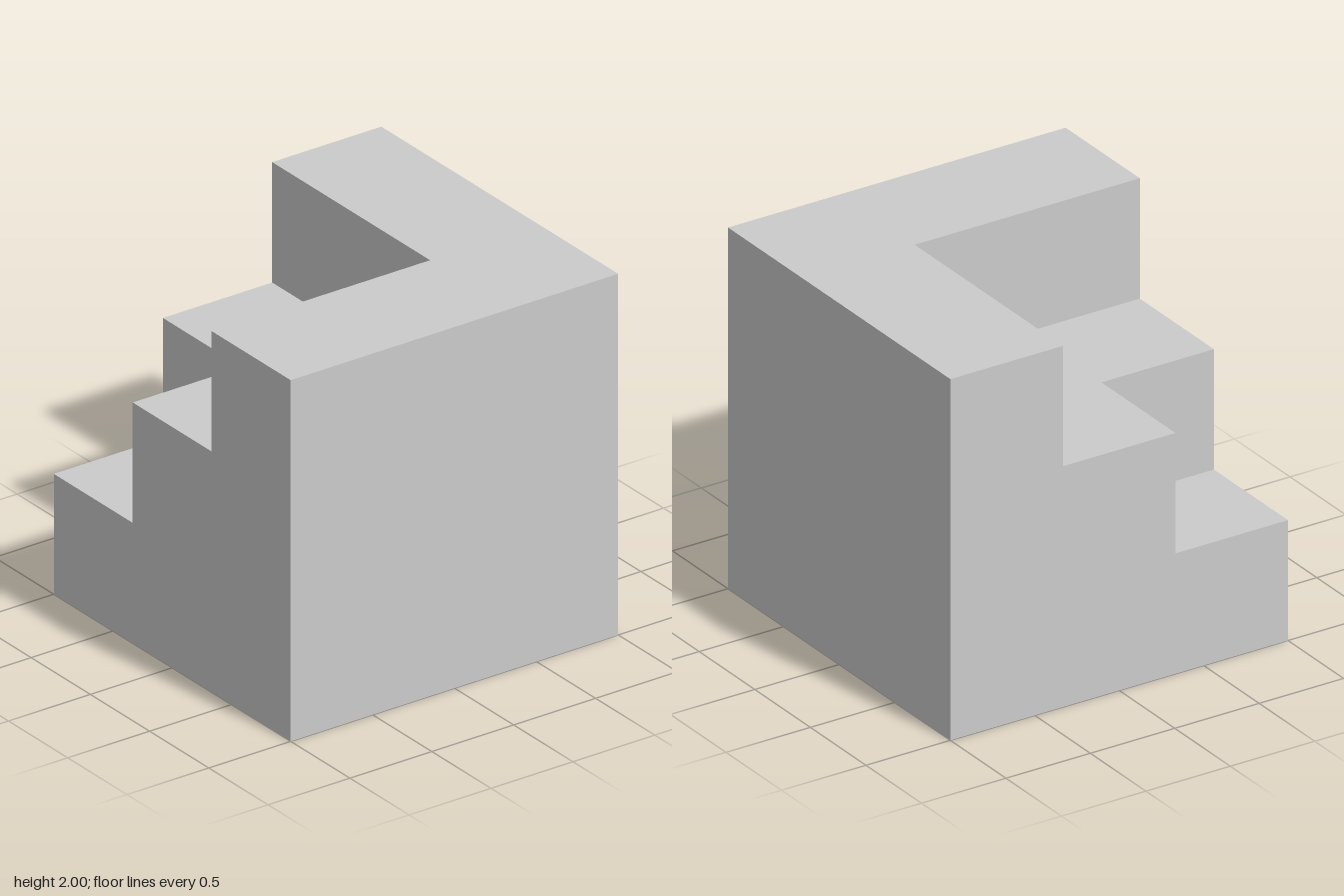
import * as THREE from 'three';
import { mergeGeometries } from 'three/addons/utils/BufferGeometryUtils.js';

const STEPS = 3;
const SIZE = 2 / STEPS;
const Q = Math.PI / 2;

// Flat panel from a 2D outline, turned and moved into place
function panel(points, rx, ry, x, y, z) {
  const shape = new THREE.Shape(points.map(([u, v]) => new THREE.Vector2(u, v)));
  return new THREE.ShapeGeometry(shape).rotateX(rx).rotateY(ry).translate(x, y, z);
}

const rect = (u0, v0, u1, v1) => [[u0, v0], [u1, v0], [u1, v1], [u0, v1]];

export function createModel() {
  const group = new THREE.Group();
  const parts = [];

  // Plain sides and base
  parts.push(panel(rect(-1, 0, 1, 2), 0, 0, 0, 0, 1));
  parts.push(panel(rect(-1, 0, 1, 2), 0, Q, 1, 0, 0));
  parts.push(panel(rect(-1, -1, 1, 1), Q, 0, 0, 0, 0));

  // Stair-shaped sides at the back and the model's right
  const profile = [[-1, 0], [1, 0]];
  for (let i = 0; i < STEPS; i++) {
    const y = (i + 1) * SIZE;
    profile.push([1 - i * SIZE, y], [1 - (i + 1) * SIZE, y]);
  }
  parts.push(panel(profile, 0, 2 * Q, 0, 0, -1));
  parts.push(panel(profile.map(([u, v]) => [-u, v]), 0, -Q, -1, 0, 0));

  // Treads and risers climbing out of the cut corner
  for (let i = 0; i < STEPS; i++) {
    const y = (i + 1) * SIZE;
    const inner = -1 + i * SIZE;
    const outer = inner + SIZE;
    const tread = i === 0
      ? rect(-1, -outer, outer, 1)
      : [[-1, -outer], [outer, -outer], [outer, 1], [inner, 1], [inner, -inner], [-1, -inner]];
    parts.push(panel(tread, -Q, 0, 0, y, 0));
    if (i > 0) {
      parts.push(panel(rect(-inner, y - SIZE, 1, y), 0, 2 * Q, 0, 0, inner));
      parts.push(panel(rect(-1, y - SIZE, inner, y), 0, -Q, inner, 0, 0));
    }
  }

  const mesh = new THREE.Mesh(
    mergeGeometries(parts),
    new THREE.MeshStandardMaterial({ color: 0xcccccc, flatShading: true })
  );
  mesh.name = 'cornerStairBlock';
  group.add(mesh);
  return group;
}
